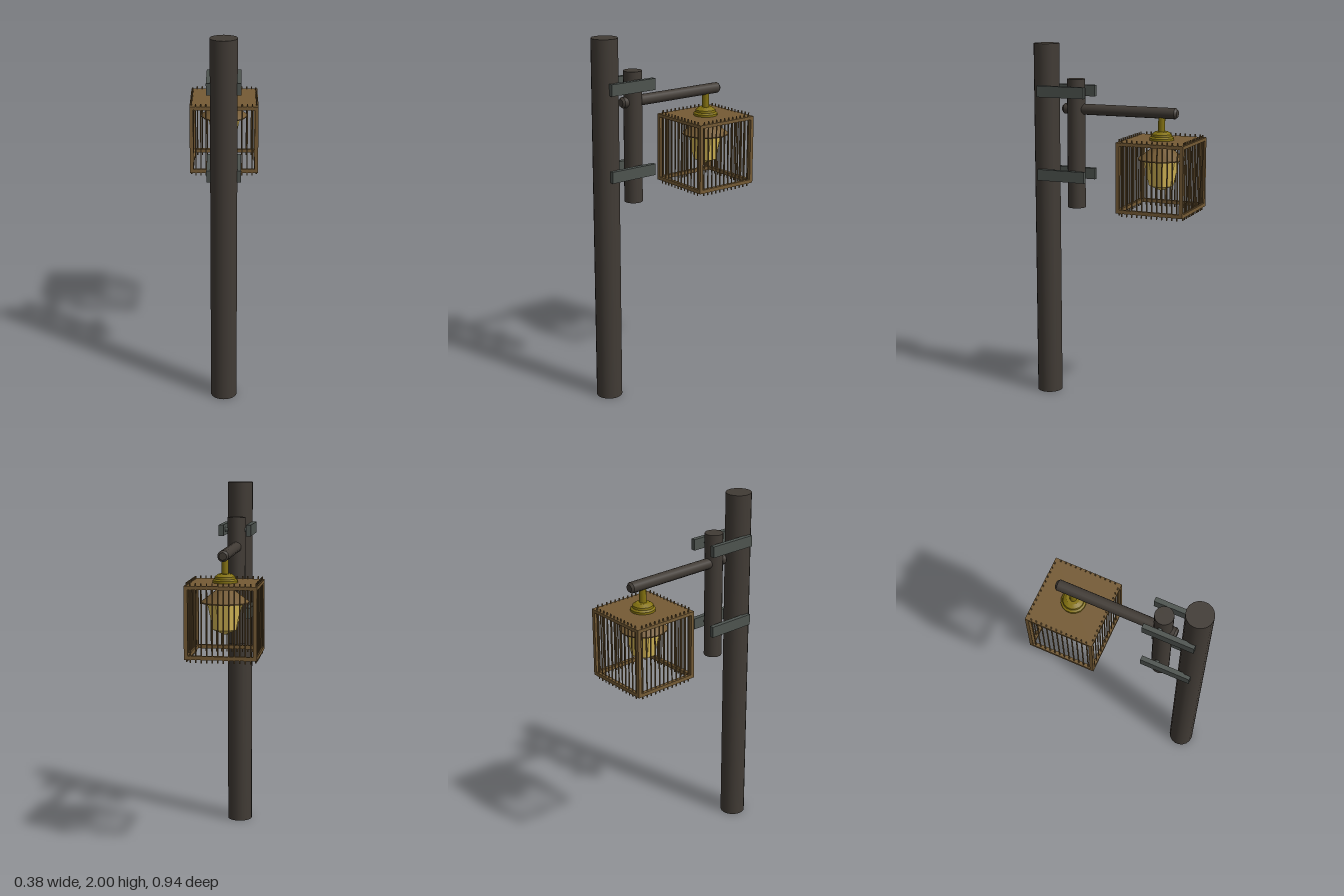
import * as THREE from 'three';
import { toCreasedNormals } from 'three/addons/utils/BufferGeometryUtils.js';

const paint = (name, color) => {
  const m = new THREE.MeshStandardMaterial({ color });
  m.name = name;
  return m;
};

export function createModel() {
  const wood = paint('dark wood', 0x413b35);
  const iron = paint('grey iron', 0x4d534f);
  const bronze = paint('brown bronze', 0x755b35);
  const brass = paint('brass', 0x847210);
  const glass = paint('amber glass', 0xdcbe5a);

  const model = new THREE.Group();
  model.name = 'streetLantern';
  const add = (parent, name, geometry, material, x, y, z) => {
    const mesh = new THREE.Mesh(geometry, material);
    mesh.name = name;
    mesh.position.set(x, y, z);
    parent.add(mesh);
    return mesh;
  };
  // Turned part whose rims stay sharp while its sides are smooth
  const lathe = (points, sides) => toCreasedNormals(new THREE.LatheGeometry(
    points.map(([r, y]) => new THREE.Vector2(r, y)), sides, Math.PI / sides), 0.5);

  // Tall pole and the short post beside it
  add(model, 'mainPole', new THREE.CylinderGeometry(0.071, 0.071, 2, 18), wood, 0.002, 1, 0.4);
  add(model, 'shortPost', new THREE.CylinderGeometry(0.05, 0.05, 0.715, 18), wood, 0.002, 1.4525, 0.222);

  // Horizontal arm with bevelled tips
  const arm = new THREE.Group();
  arm.name = 'arm';
  arm.position.set(0, 1.645, -0.035);
  arm.rotation.x = Math.PI / 2;
  model.add(arm);
  add(arm, 'armShaft', new THREE.CylinderGeometry(0.03, 0.03, 0.646, 14), wood, 0, 0, 0);
  for (const s of [-1, 1]) {
    add(arm, 'armTip', new THREE.CylinderGeometry(s > 0 ? 0.02 : 0.03, s > 0 ? 0.03 : 0.02, 0.012, 14),
      wood, 0, s * 0.329, 0);
  }

  // Paired straps joining the posts, each pair with a cross pin
  for (const y of [1.277, 1.741]) {
    for (const s of [-1, 1]) {
      add(model, 'strap', new THREE.BoxGeometry(0.026, 0.062, 0.28), iron, 0.002 + s * 0.077, y, 0.28);
    }
    const pin = add(model, 'crossPin', new THREE.CylinderGeometry(0.013, 0.013, 0.14, 10), iron, 0.002, y, 0.222);
    pin.rotation.z = Math.PI / 2;
  }

  // Cage: top plate, bottom rails, corner posts and rods
  const cage = new THREE.Group();
  cage.name = 'cage';
  cage.position.set(0, 0, -0.28);
  model.add(cage);
  add(cage, 'topPlate', new THREE.BoxGeometry(0.38, 0.018, 0.38), bronze, 0, 1.491, 0);
  const rod = new THREE.CylinderGeometry(0.004, 0.004, 0.415, 6);
  for (let side = 0; side < 4; side++) {
    const panel = new THREE.Group();
    panel.name = 'cageSide';
    panel.rotation.y = side * Math.PI / 2;
    cage.add(panel);
    add(panel, 'bottomRail', new THREE.BoxGeometry(0.34, 0.02, 0.02), bronze, 0, 1.127, 0.18);
    add(panel, 'cornerPost', new THREE.BoxGeometry(0.02, 0.365, 0.02), bronze, 0.18, 1.2995, 0.18);
    for (let i = 0; i < 12; i++) {
      add(panel, 'rod', rod, bronze, (i - 5.5) * 0.0285, 1.3075, 0.181);
    }
  }

  // Hanger stem and stepped brass cap
  const lantern = new THREE.Group();
  lantern.name = 'lantern';
  lantern.position.set(0, 0, -0.28);
  model.add(lantern);
  add(lantern, 'stem', new THREE.CylinderGeometry(0.019, 0.019, 0.1, 12), brass, 0, 1.58, 0);
  add(lantern, 'cap', lathe([[0.067, 1.498], [0.067, 1.512], [0.057, 1.52],
    [0.055, 1.532], [0.035, 1.546], [0, 1.546]], 16), brass, 0, 0, 0);

  // Lamp: conical roof over a tapered glass body
  add(lantern, 'lampRoof', lathe([[0, 1.393], [0.129, 1.393], [0.129, 1.399], [0.02, 1.482], [0, 1.482]], 16),
    bronze, 0, 0, 0);
  add(lantern, 'lampGlass', lathe([[0, 1.222], [0.067, 1.252], [0.097, 1.394]], 8), glass, 0, 0, 0);

  return model;
}
